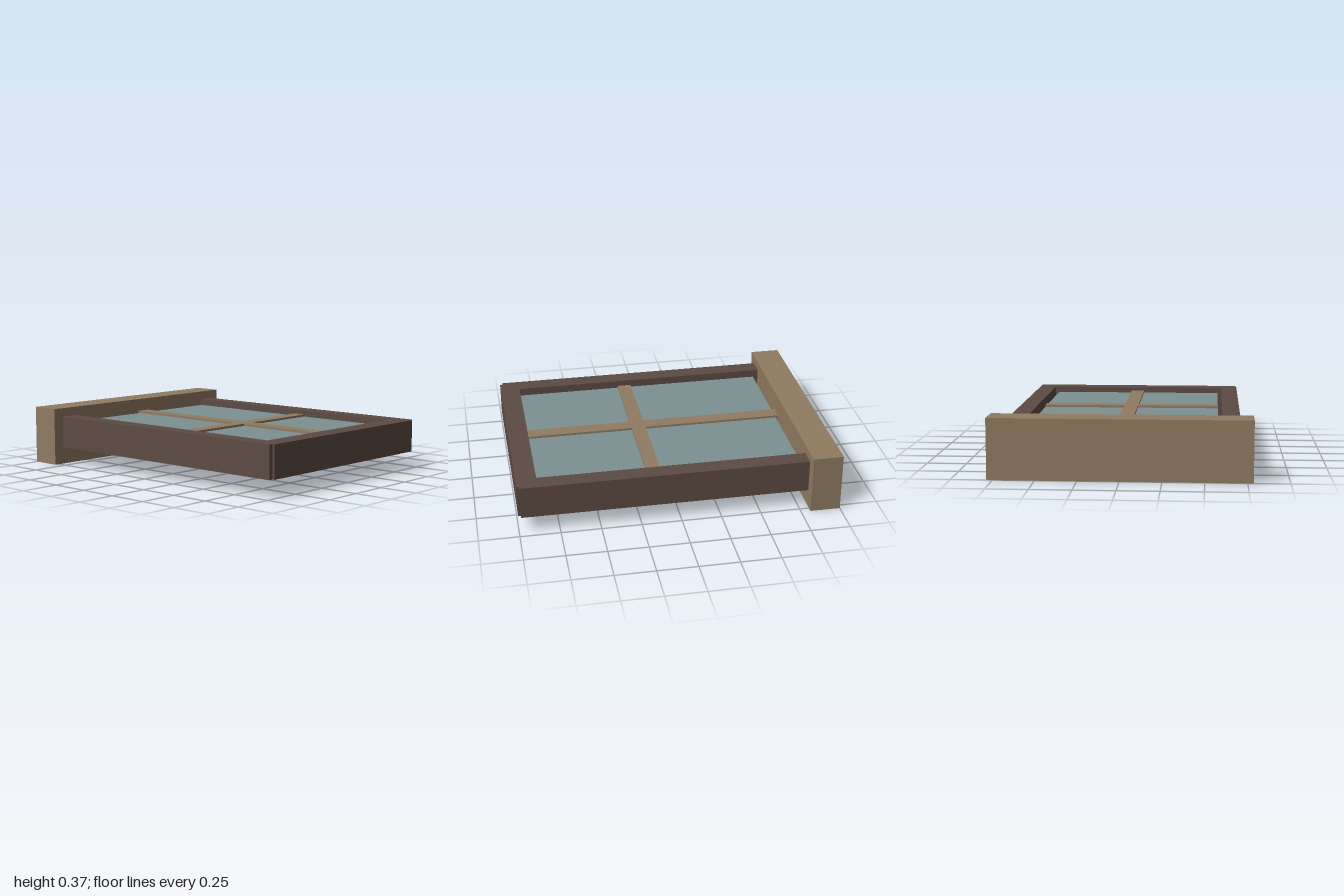
import * as THREE from 'three';

export function createModel() {
  const group = new THREE.Group();
  const mat = (color) => new THREE.MeshStandardMaterial({ color, flatShading: true });
  const tan = mat(0x917b61), brown = mat(0x5d4b43), glass = mat(0x7d9193);

  // Box given by its extents along each axis
  const block = (name, material, [x0, x1], [y0, y1], [z0, z1]) => {
    const mesh = new THREE.Mesh(new THREE.BoxGeometry(x1 - x0, y1 - y0, z1 - z0), material);
    mesh.position.set((x0 + x1) / 2, (y0 + y1) / 2, (z0 + z1) / 2);
    mesh.name = name;
    group.add(mesh);
  };

  // Heavy sill across the back
  block('sill', tan, [-0.785, 0.785], [0, 0.37], [-1, -0.81]);

  // Frame: two side rails and the head rail
  const frameY = [0.11, 0.315];
  block('leftRail', brown, [0.603, 0.714], frameY, [-0.81, 0.984]);
  block('rightRail', brown, [-0.714, -0.603], frameY, [-0.81, 0.984]);
  block('headRail', brown, [-0.69, 0.69], frameY, [0.873, 1]);

  // Thin pane
  block('pane', glass, [-0.577, 0.577], [0.262, 0.278], [-0.77, 0.9]);

  // Crossing glazing bars
  const barY = [0.092, 0.292];
  block('longBar', tan, [-0.045, 0.045], barY, [-0.785, 0.905]);
  block('crossBar', tan, [-0.577, 0.577], barY, [0.107, 0.197]);

  // Short bars beneath the pane
  for (const x of [-0.32, 0.32]) {
    block('shortBar', tan, [x - 0.04, x + 0.04], [0.112, 0.27], [0.39, 0.9]);
  }
  return group;
}
